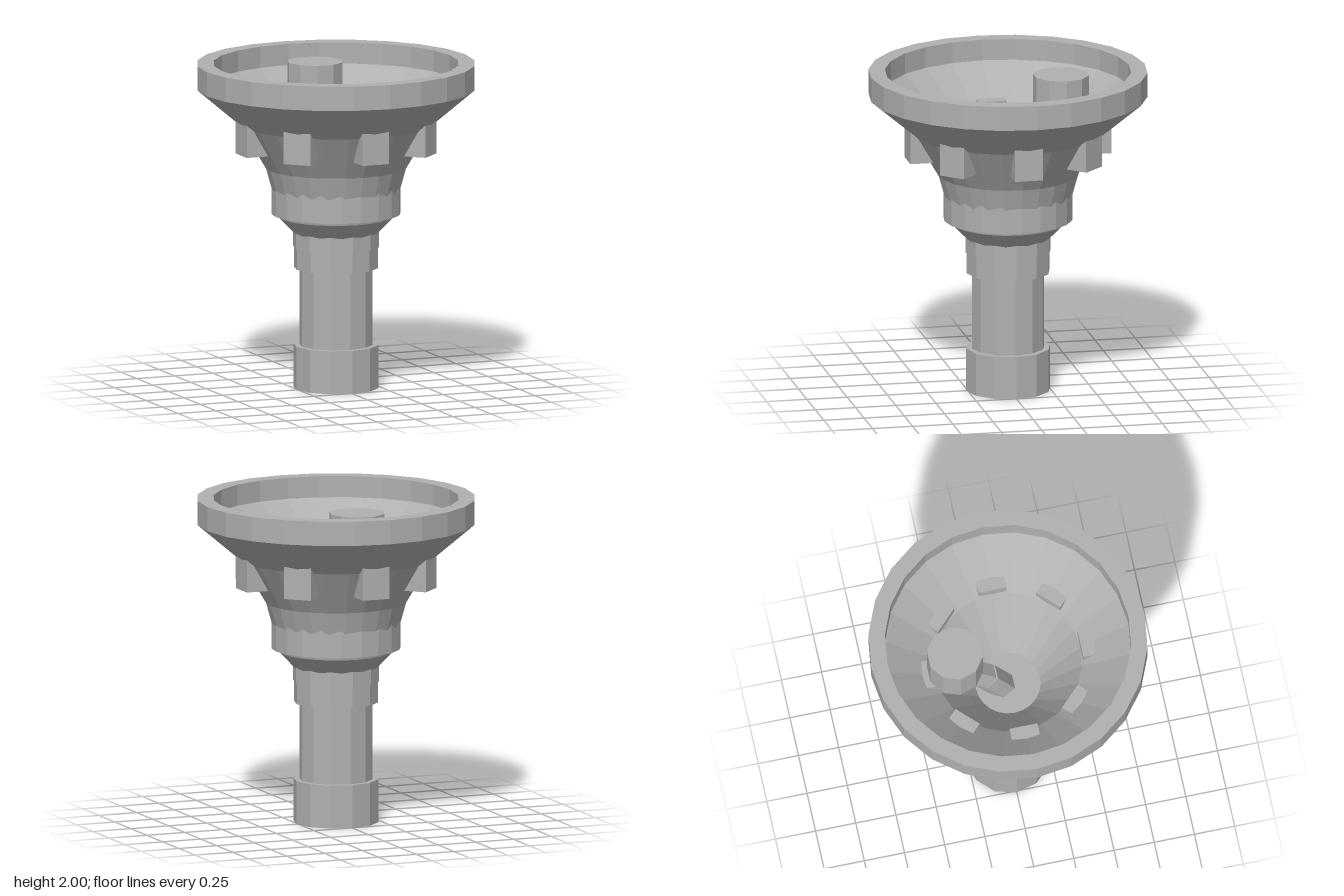
import * as THREE from 'three';

export function createModel() {
  const model = new THREE.Group();
  const grey = new THREE.MeshStandardMaterial({ color: 0xb0b0b0, flatShading: true });
  grey.name = 'stone grey';

  const add = (name, geometry) => {
    const mesh = new THREE.Mesh(geometry, grey);
    mesh.name = name;
    model.add(mesh);
    return mesh;
  };
  // Upright prism between two heights
  const drum = (name, r, y0, y1, sides) => {
    const mesh = add(name, new THREE.CylinderGeometry(r, r, y1 - y0, sides));
    mesh.position.y = (y0 + y1) / 2;
    return mesh;
  };
  // Hexagonal rod between two points
  const rod = (name, a, b, r) => {
    const dir = b.clone().sub(a);
    const mesh = add(name, new THREE.CylinderGeometry(r, r, dir.length(), 6).rotateY(Math.PI / 6));
    mesh.position.copy(a).add(b).multiplyScalar(0.5);
    mesh.quaternion.setFromUnitVectors(new THREE.Vector3(0, 1, 0), dir.normalize());
  };

  // Stem
  drum('base', 0.26, 0, 0.265, 12);
  drum('shaft', 0.225, 0.2, 0.8, 12);
  drum('lowerCollar', 0.258, 0.74, 0.92, 12);
  drum('upperCollar', 0.265, 0.87, 0.98, 12);

  // Bowl: outside upwards, over the rim, then down the inside
  const profile = [
    [0, 0.93], [0.23, 0.93], [0.35, 1.055], [0.385, 1.2], [0.43, 1.36], [0.59, 1.63],
    [0.85, 1.85], [0.85, 2], [0.75, 2], [0.75, 1.87],
    [0.45, 1.62], [0.27, 1.36], [0.14, 1.16], [0, 1.16],
  ].map(([x, y]) => new THREE.Vector2(x, y));
  add('bowl', new THREE.LatheGeometry(profile, 24));
  drum('bowlRing', 0.395, 1.075, 1.25, 20);

  // Blocks set through the bowl wall
  for (let i = 0; i < 8; i++) {
    const block = new THREE.BoxGeometry(0.175, 0.22, 0.175);
    block.translate(0, 1.58, 0.5375).rotateY((i * Math.PI) / 4);
    add('block' + (i + 1), block);
  }

  // Bent lever and its knob
  const foot = new THREE.Vector3(0, 1.1, 0.02);
  const bend = new THREE.Vector3(0, 1.46, -0.14);
  const top = new THREE.Vector3(0, 1.73, -0.35);
  rod('lowerLever', foot, bend, 0.086);
  rod('upperLever', bend, top, 0.086);
  const knob = drum('knob', 0.172, 1.69, 1.96, 10);
  knob.position.z = -0.33;
  knob.rotation.y = Math.PI / 2;

  return model;
}
